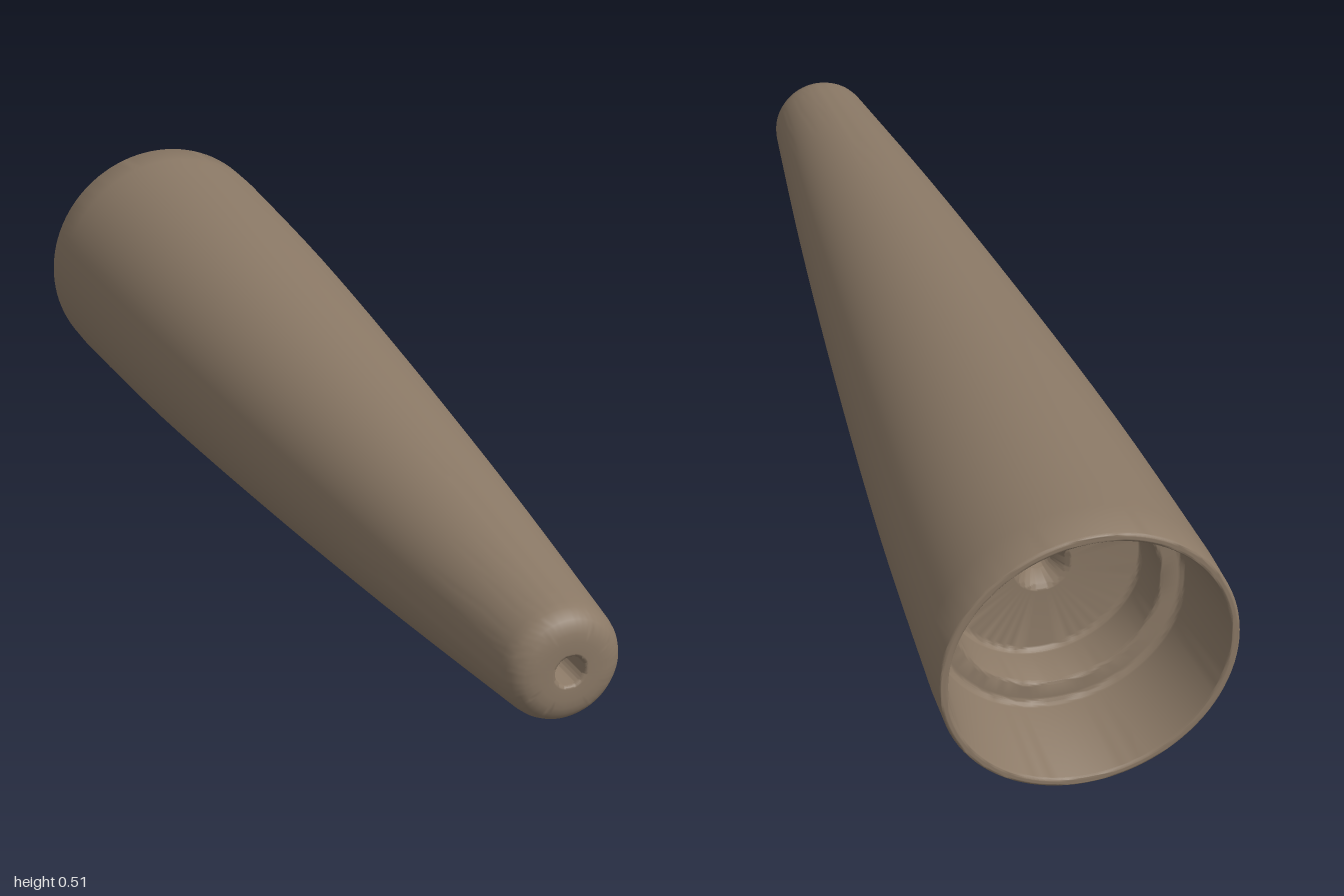
import * as THREE from 'three';
import { toCreasedNormals } from 'three/addons/utils/BufferGeometryUtils.js';

// Rounds the corners of a closed [radius, axial, fillet] outline
function filletedProfile(corners, steps = 6) {
  const n = corners.length;
  const pts = [];
  corners.forEach(([r, a, f], i) => {
    const p = new THREE.Vector2(r, a);
    if (!f) {
      pts.push(p);
      return;
    }
    const toward = ([x, y]) => new THREE.Vector2(x, y).sub(p).setLength(f).add(p);
    const start = toward(corners[(i + n - 1) % n]);
    const end = toward(corners[(i + 1) % n]);
    pts.push(...new THREE.QuadraticBezierCurve(start, p, end).getPoints(steps));
  });
  pts.push(pts[0].clone());
  return pts;
}

export function createModel() {
  const group = new THREE.Group();
  const material = new THREE.MeshStandardMaterial({ color: 0x8b7966 });

  // Gently bulging outer taper, from the wide end to the narrow tip
  const taper = new THREE.SplineCurve([
    [0.254, -0.92], [0.235, -0.5], [0.198, 0], [0.153, 0.5], [0.108, 0.92],
  ].map(([r, a]) => new THREE.Vector2(r, a)));

  const corners = [
    [0.254, -1, 0.006],
    ...taper.getPoints(20).map((p) => [p.x, p.y, 0]),
    // Rounded tip and through bore
    [0.099, 1, 0.045],
    [0.026, 1, 0.007],
    [0.026, -0.7, 0],
    // Flared bore mouth, socket floor, stepped ledge and wide mouth
    [0.045, -0.73, 0.008],
    [0.178, -0.73, 0.012],
    [0.178, -0.82, 0.01],
    [0.222, -0.82, 0.012],
    [0.238, -1, 0.006],
  ];

  const geometry = new THREE.LatheGeometry(filletedProfile(corners), 96);
  geometry.rotateX(Math.PI / 2);
  const sleeve = new THREE.Mesh(toCreasedNormals(geometry, 0.7), material);
  sleeve.name = 'taperedSleeve';
  sleeve.position.y = 0.254;
  group.add(sleeve);
  return group;
}
